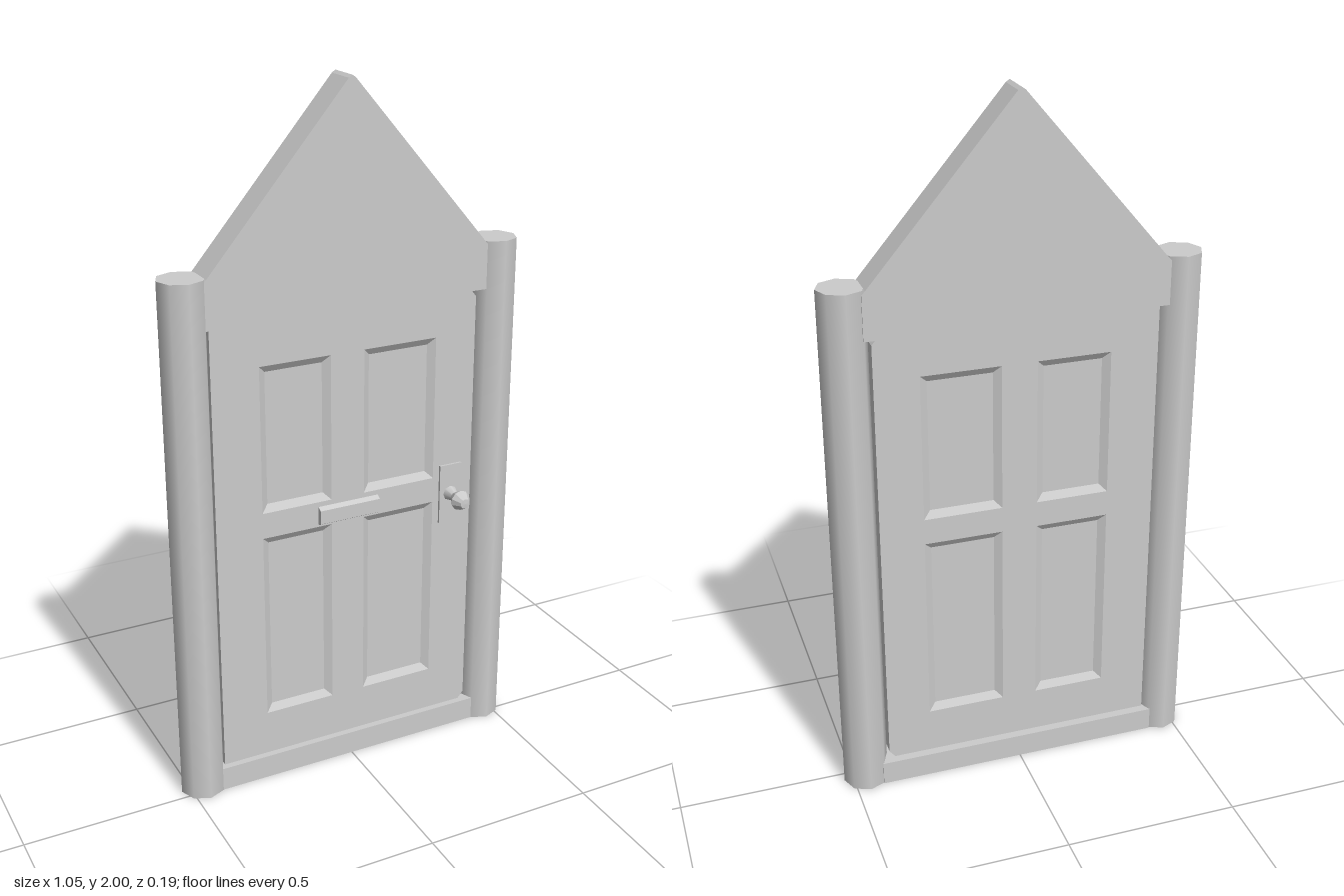
import * as THREE from 'three';

const grey = new THREE.MeshStandardMaterial({ color: 0xcccccc });
const flat = new THREE.MeshStandardMaterial({ color: 0xcccccc, flatShading: true });

function part(parent, name, geometry, x = 0, y = 0, z = 0, material = grey) {
  const mesh = new THREE.Mesh(geometry, material);
  mesh.name = name;
  mesh.position.set(x, y, z);
  parent.add(mesh);
  return mesh;
}

function extrude(shape, depth) {
  return new THREE.ExtrudeGeometry(shape, { depth, bevelEnabled: false });
}

function polygon(points) {
  return new THREE.Shape(points.map(([x, y]) => new THREE.Vector2(x, y)));
}

// Sunken panel: sloping border from the door face down to a flat field
function panelGeometry(w, h, border, depth) {
  const corners = [];
  for (const [inset, z] of [[0, 0], [border, -depth]]) {
    const a = w / 2 - inset, b = h / 2 - inset;
    corners.push(-a, -b, z, a, -b, z, a, b, z, -a, b, z);
  }
  const index = [4, 5, 6, 4, 6, 7];
  for (let i = 0; i < 4; i++) {
    const j = (i + 1) % 4;
    index.push(i, j, j + 4, i, j + 4, i + 4);
  }
  const g = new THREE.BufferGeometry();
  g.setAttribute('position', new THREE.Float32BufferAttribute(corners, 3));
  g.setIndex(index);
  const out = g.toNonIndexed();
  out.computeVertexNormals();
  return out;
}

export function createModel() {
  const model = new THREE.Group();
  model.name = 'door';
  const midZ = -0.03;

  // Eight-sided side posts
  for (const s of [-1, 1]) {
    part(model, s > 0 ? 'leftPost' : 'rightPost',
      new THREE.CylinderGeometry(0.065, 0.065, 1.525, 8), s * 0.4625, 0.7625, midZ);
  }

  // Gable with a small blunt tip, and the sill
  const gable = polygon([[-0.42, 1.39], [0.42, 1.39], [0.42, 1.515],
    [0.41, 1.525], [0.01, 1.993], [0, 2], [-0.01, 1.993], [-0.41, 1.525], [-0.42, 1.515]]);
  part(model, 'gable', extrude(gable, 0.096), 0, 0, -0.081);
  part(model, 'sill', new THREE.BoxGeometry(0.84, 0.07, 0.096), 0, 0.035, -0.033);

  // Door leaf, its corners cut on the handle side
  const front = -0.003, back = -0.057;
  const door = new THREE.Group();
  door.name = 'doorLeaf';
  model.add(door);
  const leaf = polygon([[-0.402, 0.071], [0.378, 0.071], [0.395, 0.092],
    [0.395, 1.368], [0.378, 1.389], [-0.402, 1.389]]);
  const panels = [];
  for (const [x, w] of [[-0.16, 0.21], [0.158, 0.224]]) {
    for (const [y, h] of [[1.053, 0.425], [0.485, 0.56]]) panels.push({ x, y, w, h });
  }
  for (const { x, y, w, h } of panels) {
    const a = w / 2, b = h / 2;
    leaf.holes.push(new THREE.Path([[-a, -b], [-a, b], [a, b], [a, -b]]
      .map(([u, v]) => new THREE.Vector2(x + u, y + v))));
  }
  part(door, 'leaf', extrude(leaf, front - back), 0, 0, back);

  // Panels on both faces
  for (const { x, y, w, h } of panels) {
    const g = panelGeometry(w, h, 0.021, 0.014);
    part(door, 'frontPanel', g, x, y, front);
    part(door, 'backPanel', g, x, y, back).rotation.y = Math.PI;
  }

  // Letter flap with sloping top and bottom
  const flap = extrude(polygon([[0, -0.028], [0.014, -0.02], [0.014, 0.02], [0, 0.028]]), 0.186);
  flap.rotateY(-Math.PI / 2);
  part(door, 'letterFlap', flap, 0.0905, 0.798, front);

  // Handle plate, stem and knob
  part(door, 'handlePlate', new THREE.BoxGeometry(0.07, 0.18, 0.008), 0.325, 0.785, front + 0.003);
  const stem = new THREE.CylinderGeometry(0.008, 0.024, 0.044, 8);
  stem.rotateX(Math.PI / 2);
  part(door, 'knobStem', stem, 0.325, 0.785, 0.022);
  const profile = [[0, -0.029], [0.015, -0.028], [0.03, 0], [0.015, 0.028], [0, 0.029]];
  const knob = new THREE.LatheGeometry(profile.map(([r, y]) => new THREE.Vector2(r, y)), 10);
  knob.rotateX(Math.PI / 2);
  part(door, 'knob', knob, 0.325, 0.785, 0.062, flat);

  return model;
}
